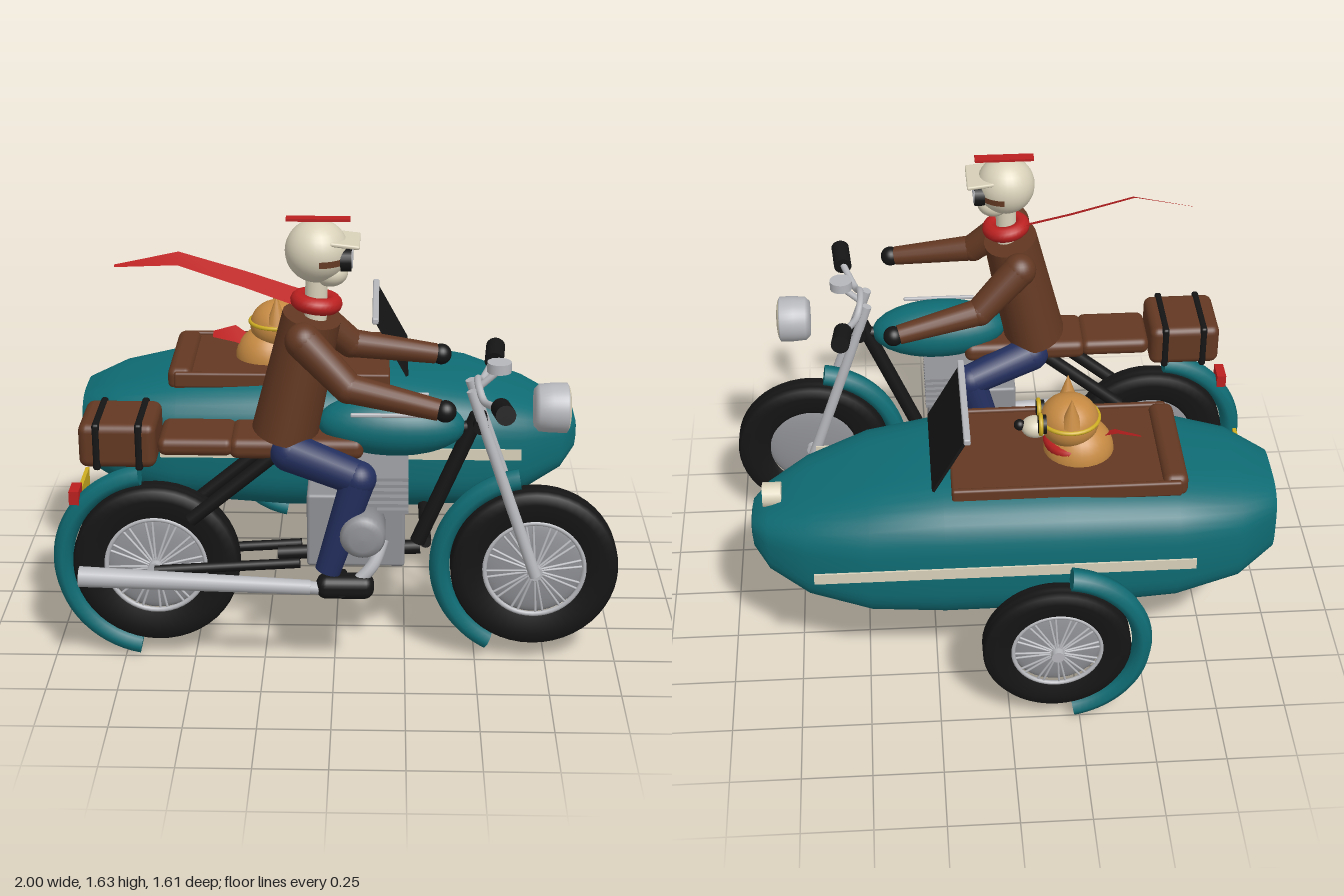
import * as THREE from 'three';
import { RoundedBoxGeometry } from 'three/addons/geometries/RoundedBoxGeometry.js';

const V = (x, y, z) => new THREE.Vector3(x, y, z);

export function createModel() {
  const mat = (name, color, side = THREE.FrontSide) => {
    const m = new THREE.MeshStandardMaterial({ color, side });
    m.name = name;
    return m;
  };
  const teal = mat('teal paint', 0x0f6c74, THREE.DoubleSide), black = mat('black rubber', 0x151515);
  const chrome = mat('chrome', 0xb6b7bb), steel = mat('steel', 0x8f9094);
  const cream = mat('cream', 0xd9d1b9), brown = mat('brown leather', 0x633822);
  const blue = mat('blue denim', 0x232f5e), orange = mat('orange fur', 0xc68a42);
  const red = mat('red cloth', 0xbb2020, THREE.DoubleSide), yellow = mat('yellow', 0xcfae22);

  const model = new THREE.Group();
  const part = (name, z) => {
    const g = new THREE.Group();
    g.name = name;
    g.position.z = z;
    model.add(g);
    return g;
  };
  const add = (g, name, geo, m, x = 0, y = 0, z = 0) => {
    const o = new THREE.Mesh(geo, m);
    o.name = name;
    o.position.set(x, y, z);
    g.add(o);
    return o;
  };
  const box = (g, name, m, x, y, z, w, h, d, r = 0) => add(g, name,
    r ? new RoundedBoxGeometry(w, h, d, 3, r) : new THREE.BoxGeometry(w, h, d), m, x, y, z);
  const ball = (g, name, m, x, y, z, rx, ry = rx, rz = rx) =>
    add(g, name, new THREE.SphereGeometry(1, 28, 18).scale(rx, ry, rz), m, x, y, z);
  // Straight rod from a to b
  const rod = (g, name, m, a, b, r, r2 = r) => {
    const d = b.clone().sub(a);
    const o = add(g, name, new THREE.CylinderGeometry(r2, r, d.length(), 18), m);
    o.position.copy(a).addScaledVector(d, 0.5);
    o.quaternion.setFromUnitVectors(V(0, 1, 0), d.normalize());
    return o;
  };
  const pipe = (g, name, m, pts, r) =>
    add(g, name, new THREE.TubeGeometry(new THREE.CatmullRomCurve3(pts), 32, r, 12), m);
  const lathe = (pts, n = 40) => new THREE.LatheGeometry(pts.map(p => new THREE.Vector2(...p)), n);

  // Wheel: grooved tyre, domed disc behind, spokes on the outer side
  const wheel = (g, name, x, y, z, scale, flip) => {
    const w = new THREE.Group();
    w.name = name;
    w.position.set(x, y, z);
    w.scale.setScalar(scale);
    w.rotation.y = flip ? Math.PI : 0;
    g.add(w);
    add(w, 'tyre', lathe([[.17, -.03], [.185, -.042], [.25, -.05], [.285, -.045], [.295, -.03], [.288, -.02],
      [.295, -.01], [.295, .01], [.288, .02], [.295, .03], [.285, .045], [.25, .05], [.185, .042], [.17, .03]], 48)
      .rotateX(Math.PI / 2), black);
    ball(w, 'wheelDisc', steel, 0, 0, 0, .182, .182, .03);
    add(w, 'rim', new THREE.TorusGeometry(.176, .009, 8, 48), chrome, 0, 0, .036);
    rod(w, 'hub', chrome, V(0, 0, -.05), V(0, 0, .08), .026);
    for (let i = 0; i < 24; i++) {
      const a = (i + (i % 2 ? -.22 : .22)) * Math.PI / 12, b = i * Math.PI / 12;
      rod(w, 'spoke', chrome, V(.02 * Math.cos(b), .02 * Math.sin(b), .05),
        V(.176 * Math.cos(a), .176 * Math.sin(a), .034), .0045);
    }
  };
  // Mudguard arc, angles in degrees
  const fender = (g, name, x, y, z, R, from, to) => {
    const f = add(g, name, new THREE.TorusGeometry(R, .036, 8, 32, (to - from) * Math.PI / 180)
      .scale(1, 1, 1.3), teal, x, y, z);
    f.rotation.z = from * Math.PI / 180;
    for (const a of [0, (to - from) * Math.PI / 180]) {
      const c = add(f, 'fenderEnd', new THREE.CircleGeometry(.036, 8).scale(1, 1.3, 1)
        .rotateX(Math.PI / 2), teal, R * Math.cos(a), R * Math.sin(a), 0);
      c.rotation.z = a;
    }
  };

  // ---- Motorcycle ----
  const bike = part('motorcycle', .463);
  wheel(bike, 'frontWheel', .702, .365, 0, 1);
  wheel(bike, 'rearWheel', -.63, .365, 0, 1);
  fender(bike, 'frontFender', .702, .365, 0, .333, 100, 242);
  fender(bike, 'rearFender', -.63, .365, 0, .333, 99, 259);
  const tank = ball(bike, 'fuelTank', teal, .195, .895, 0, .255, .108, .118);
  tank.rotation.z = -.03;
  box(bike, 'saddle', brown, -.13, .835, 0, .46, .075, .22, .03);
  box(bike, 'pillion', brown, -.475, .84, 0, .26, .065, .22, .028);
  box(bike, 'luggage', brown, -.74, .85, 0, .265, .16, .26, .03);
  for (const x of [-.81, -.665]) box(bike, 'luggageStrap', black, x, .85, 0, .026, .17, .27, .01);
  box(bike, 'tailLight', red, -.91, .62, 0, .035, .05, .085);

  // Engine with cooling fins and side cylinders
  box(bike, 'engineBlock', steel, .075, .535, 0, .34, .27, .21, .012);
  for (let i = 0; i < 6; i++) box(bike, 'coolingFin', steel, .16, .625 + i * .024, 0, .19, .012, .28);
  box(bike, 'cylinderCore', steel, .16, .68, 0, .15, .13, .2);
  for (const s of [1, -1]) {
    const c = add(bike, 'sideCylinder', lathe([[0, 0], [.078, 0], [.078, .13], [.068, .15], [.045, .158], [0, .16]], 28),
      steel, .1, .57, s * .095);
    c.rotation.x = s * Math.PI / 2;
    box(bike, 'tankTrim', chrome, .19, .965, s * .1, .27, .014, .014, .005);
    // Fork and rear frame
    rod(bike, 'forkLeg', chrome, V(.465, 1.04, s * .055), V(.702, .36, s * .082), .018, .021);
    rod(bike, 'swingArm', black, V(-.12, .4, s * .08), V(-.63, .365, s * .08), .018);
    rod(bike, 'rearStay', black, V(-.5, .56, s * .08), V(-.19, .82, s * .08), .024);
    rod(bike, 'footrest', black, V(.03, .35, s * .05), V(.03, .35, s * .22), .014);
    rod(bike, 'grip', black, V(.555, 1.045, s * .225), V(.565, 1.062, s * .338), .034);
  }
  rod(bike, 'downTube', black, V(.49, .93, 0), V(.29, .45, 0), .027);
  rod(bike, 'backbone', black, V(.49, .89, 0), V(-.22, .81, 0), .022);
  rod(bike, 'cradle', black, V(.3, .43, 0), V(-.2, .4, 0), .025);
  rod(bike, 'forkClamp', black, V(.5, .91, -.07), V(.5, .91, .07), .026);
  pipe(bike, 'handlebar', chrome, [V(.56, 1.052, -.25), V(.53, 1.03, -.17), V(.505, 1.02, -.1), V(.49, 1.05, -.04),
    V(.49, 1.05, .04), V(.505, 1.02, .1), V(.53, 1.03, .17), V(.56, 1.052, .25)], .013);
  rod(bike, 'gaugeStem', chrome, V(.49, 1.03, 0), V(.555, 1.09, 0), .012);
  rod(bike, 'speedometer', chrome, V(.56, 1.09, 0), V(.56, 1.125, 0), .042);
  add(bike, 'headlight', lathe([[0, -.065], [.065, -.062], [.082, -.045], [.086, 0], [.086, .05], [.078, .055]])
    .rotateZ(-Math.PI / 2), chrome, .745, .96, 0);
  ball(bike, 'headlightLens', cream, .797, .96, 0, .014, .08, .08);
  rod(bike, 'muffler', chrome, V(-.88, .392, .19), V(-.08, .36, .19), .036, .026);
  pipe(bike, 'exhaustPipe', chrome, [V(-.1, .36, .19), V(.04, .36, .185), V(.13, .43, .17), V(.17, .52, .13)], .022);

  // ---- Rider ----
  const rider = part('rider', .463);
  const torso = add(rider, 'jacket', new THREE.CylinderGeometry(.1, .115, .43, 28).scale(1, 1, 1.3), brown, -.125, 1.075, 0);
  torso.rotation.z = -.22;
  for (const s of [1, -1]) {
    const shoulder = V(-.1, 1.255, s * .175), elbow = V(.05, 1.11, s * .225), hand = V(.35, 1.055, s * .275);
    ball(rider, 'shoulder', brown, shoulder.x, shoulder.y, shoulder.z, .062);
    rod(rider, 'upperArm', brown, shoulder, elbow, .062, .052);
    ball(rider, 'elbow', brown, elbow.x, elbow.y, elbow.z, .052);
    rod(rider, 'forearm', brown, elbow, hand, .05, .036);
    ball(rider, 'glove', black, .37, 1.052, s * .278, .037);
    const hip = V(-.15, .825, s * .09), knee = V(.085, .76, s * .165), ankle = V(-.02, .42, s * .178);
    ball(rider, 'hip', blue, hip.x, hip.y, hip.z, .07);
    rod(rider, 'thigh', blue, hip, knee, .07, .06);
    ball(rider, 'knee', blue, knee.x, knee.y, knee.z, .061);
    rod(rider, 'shin', blue, knee, ankle, .06, .045);
    box(rider, 'boot', black, .04, .362, s * .178, .2, .085, .088, .036);
    // Goggles
    rod(rider, 'goggleLens', black, V(.02, 1.494, s * .037), V(.057, 1.494, s * .037), .038);
    add(rider, 'goggleRim', new THREE.TorusGeometry(.025, .004, 8, 24).rotateY(Math.PI / 2), chrome, .057, 1.494, s * .037);
  }
  rod(rider, 'neck', cream, V(-.065, 1.27, 0), V(-.06, 1.44, 0), .038);
  ball(rider, 'skull', cream, -.06, 1.515, 0, .107);
  ball(rider, 'jaw', cream, -.015, 1.44, 0, .06, .048, .06);
  add(rider, 'goggleStrap', new THREE.CylinderGeometry(.108, .108, .022, 36, 1, true, .1, Math.PI - .2), brown, -.06, 1.494, 0);
  const brim = box(rider, 'helmetBrim', cream, .035, 1.553, 0, .1, .014, .17, .006);
  brim.rotation.z = -.12;
  box(rider, 'helmetStripe', red, -.055, 1.624, 0, .215, .009, .042);
  const scarf = add(rider, 'scarf', new THREE.TorusGeometry(.06, .029, 12, 32).rotateX(Math.PI / 2), red, -.062, 1.337, 0);
  scarf.rotation.z = -.13;

  // Scarf tail from cross-sections: x, y, z, half width
  const ribbon = (g, name, rows) => {
    const p = [], idx = [];
    rows.forEach(([x, y, z, w], i) => {
      p.push(x, y + w * .5, z - w, x, y - w * .5, z + w);
      if (i) idx.push(2 * i - 2, 2 * i - 1, 2 * i, 2 * i - 1, 2 * i + 1, 2 * i);
    });
    const geo = new THREE.BufferGeometry();
    geo.setAttribute('position', new THREE.Float32BufferAttribute(p, 3));
    geo.setIndex(idx);
    geo.computeVertexNormals();
    add(g, name, geo, red);
  };
  ribbon(rider, 'scarfTail', [[-.09, 1.335, -.01, .04], [-.3, 1.4, -.035, .036], [-.53, 1.47, -.045, .03], [-.75, 1.435, -.068, .006]]);

  // ---- Sidecar ----
  const car = part('sidecar', -.29);
  // Hull sections: x, top, bottom, half width
  const hull = [[-.972, .72, .5, .13], [-.968, .75, .465, .17], [-.83, .80, .41, .285], [-.6, .845, .365, .345],
    [-.2, .868, .34, .362], [.22, .868, .336, .36], [.48, .825, .345, .335], [.7, .755, .39, .26],
    [.84, .69, .46, .165], [.895, .65, .53, .09], [.902, .625, .555, .05]];
  const N = 40, pos = [], idx = [];
  const sq = v => Math.sign(v) * Math.pow(Math.abs(v), .6);
  hull.forEach(([x, t, b, w], i) => {
    for (let j = 0; j < N; j++) {
      const a = j / N * Math.PI * 2;
      pos.push(x, (t + b) / 2 + (t - b) / 2 * sq(Math.sin(a)), w * sq(Math.cos(a)));
      const k = (j + 1) % N, A = i * N;
      if (i < hull.length - 1) idx.push(A + j, A + N + j, A + k, A + N + j, A + N + k, A + k);
    }
  });
  const last = (hull.length - 1) * N, c0 = hull.length * N;
  pos.push(-.972, .61, 0, .903, .59, 0);
  for (let j = 0; j < N; j++) {
    const k = (j + 1) % N;
    idx.push(c0, j, k, c0 + 1, last + k, last + j);
  }
  const hullGeo = new THREE.BufferGeometry();
  hullGeo.setAttribute('position', new THREE.Float32BufferAttribute(pos, 3));
  hullGeo.setIndex(idx);
  hullGeo.computeVertexNormals();
  add(car, 'hull', hullGeo, teal);

  // Cockpit: floor panel, padded rim and seat back
  box(car, 'cockpitFloor', brown, -.21, .835, 0, .8, .075, .47, .01);
  for (const s of [1, -1]) {
    box(car, 'cockpitRim', brown, -.21, .855, s * .232, .8, .06, .024, .01);
    box(car, 'sideStripe', cream, .01, .62, s * .364, 1.33, .042, .007);
  }
  box(car, 'seatBack', brown, -.59, .85, 0, .09, .09, .46, .03);
  const shield = box(car, 'windshield', black, .195, .98, 0, .01, .245, .445);
  shield.rotation.z = .5;
  box(car, 'windshieldTrim', chrome, .135, 1.09, 0, .024, .024, .48, .006);
  rod(car, 'noseLamp', cream, V(.79, .712, 0), V(.857, .712, 0), .045);
  box(car, 'numberPlate', yellow, -.94, .475, .41, .014, .088, .26);

  // Sidecar wheel, axle and mounting bars
  wheel(car, 'sidecarWheel', -.163, .34, -.442, .888, true);
  fender(car, 'sidecarFender', -.163, .34, -.442, .303, 99, 258);
  rod(car, 'axle', black, V(-.163, .375, 0), V(-.163, .335, -.5), .02);
  for (const x of [-.48, .32]) rod(car, 'mountBar', black, V(x, .37, .2), V(x, .44, .74), .02);

  // ---- Cat passenger ----
  const cat = part('cat', -.29);
  ball(cat, 'catBody', orange, -.27, .87, 0, .125, .12, .12);
  ball(cat, 'catHead', orange, -.235, .995, 0, .105, .095, .105);
  ball(cat, 'muzzle', cream, -.115, .97, 0, .05, .038, .045);
  ball(cat, 'nose', black, -.04 - .02, .98, 0, .02);
  add(cat, 'catScarf', new THREE.TorusGeometry(.085, .022, 10, 28).rotateX(Math.PI / 2), red, -.25, .91, 0);
  ribbon(cat, 'catScarfTail', [[-.33, .92, 0, .025], [-.4, .95, -.02, .04], [-.485, .94, -.04, .015]]);
  add(cat, 'catGoggleStrap', new THREE.TorusGeometry(.104, .008, 8, 32).rotateX(Math.PI / 2), yellow, -.235, 1.01, 0);
  for (const s of [1, -1]) {
    const ear = add(cat, 'ear', new THREE.ConeGeometry(.038, .11, 16), orange, -.235, 1.08, s * .073);
    ear.rotation.x = s * .04;
    rod(cat, 'catGoggleLens', black, V(-.15, 1.012, s * .045), V(-.122, 1.012, s * .045), .034);
    add(cat, 'catGoggleRim', new THREE.TorusGeometry(.034, .008, 8, 24).rotateY(Math.PI / 2), yellow, -.13, 1.012, s * .045);
  }
  return model;
}
